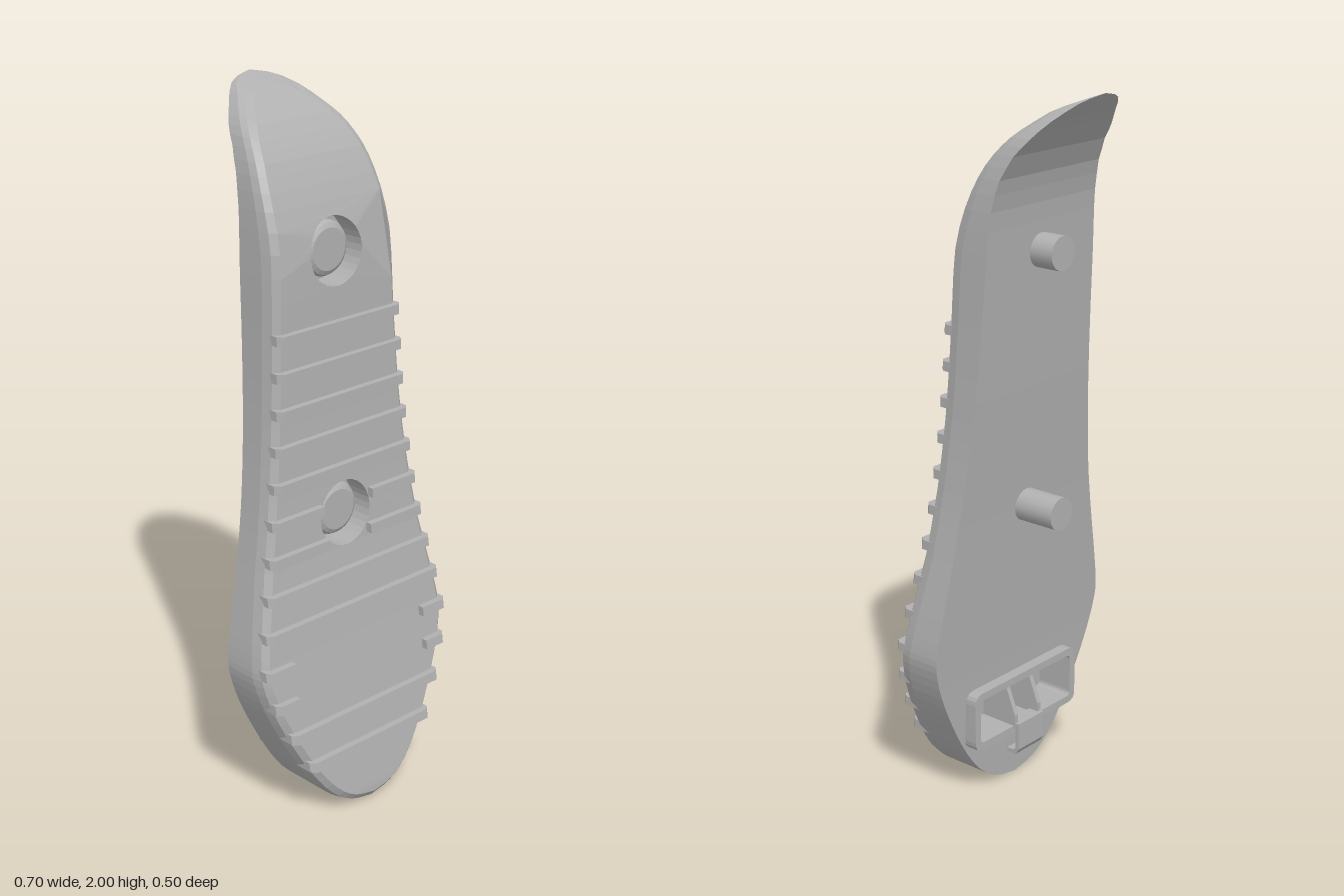
import * as THREE from 'three';
import { mergeGeometries } from 'three/addons/utils/BufferGeometryUtils.js';

const V2 = (x, y) => new THREE.Vector2(x, y);

// piecewise interpolation through [y, value] pairs
const curve = (pairs) => (y) => {
  let i = 1;
  while (i < pairs.length - 1 && pairs[i][0] < y) i++;
  const [y0, a] = pairs[i - 1], [y1, b] = pairs[i];
  return a + (b - a) * THREE.MathUtils.clamp((y - y0) / (y1 - y0), 0, 1);
};

// side profile: front and back surfaces of the pad
const frontZ = curve([[0, 0.252], [0.05, 0.248], [0.2, 0.222], [0.5, 0.171], [0.76, 0.13], [0.95, 0.113], [1.13, 0.102],
  [1.4, 0.09], [1.5, 0.087], [1.58, 0.083], [1.63, 0.075], [1.69, 0.056], [1.75, 0.03], [1.81, 0], [1.86, -0.037],
  [1.9, -0.075], [1.96, -0.155], [2, -0.25]]);
const backZ = curve([[0, 0.05], [0.2, 0.045], [0.4, 0.035], [0.6, 0.022], [0.87, 0.005], [1.18, -0.02], [1.5, -0.042],
  [1.69, -0.053], [1.78, -0.072], [1.85, -0.108], [1.93, -0.175], [2, -0.252]]);

// half outline seen from the front, bottom to top
const outline = new THREE.SplineCurve([[0, 0.004], [0.08, 0.022], [0.15, 0.07], [0.21, 0.145], [0.27, 0.25], [0.32, 0.36],
  [0.346, 0.45], [0.346, 0.51], [0.33, 0.6], [0.297, 0.76], [0.272, 0.9], [0.253, 1.04], [0.238, 1.2], [0.227, 1.4],
  [0.219, 1.6], [0.208, 1.75], [0.185, 1.85], [0.15, 1.915], [0.08, 1.98], [0, 2]].map(([x, y]) => V2(x, y))).getPoints(57);
const LAST = outline.length - 1;
const halfWidth = curve(outline.map((p) => [p.y, p.x]));

// outline moved inwards by d
const inset = (d) => outline.map((p, i) => {
  if (i === 0 || i === LAST) return V2(0, p.y + (i ? -d : d));
  const t = outline[i + 1].clone().sub(outline[i - 1]).normalize();
  return V2(Math.max(p.x - t.y * d, 0.001), p.y + t.x * d);
});

const mirrorLoop = (half) => [...half, ...half.filter((p) => p.x > 1e-6).reverse().map((p) => V2(-p.x, p.y))];

function flat(geometry) {
  const g = geometry.index ? geometry.toNonIndexed() : geometry;
  g.deleteAttribute('uv');
  g.computeVertexNormals();
  return g;
}

function bend(geometry, rule) {
  const p = geometry.attributes.position;
  for (let i = 0; i < p.count; i++) p.setZ(i, rule(p.getX(i), p.getY(i), p.getZ(i)));
  return geometry;
}

// surface of bands across the outline; a band around each hole is cut out
function cap(half, zAt, holes, flip) {
  const parts = [];
  for (let i = 0; i < LAST;) {
    let j = i + 1;
    const hole = holes.find((h) => half[i].y < h.min && half[j].y >= h.min);
    if (hole) while (half[j].y <= hole.max) j++;
    const shape = new THREE.Shape(mirrorLoop(half.slice(i, j + 1)));
    if (hole) shape.holes.push(hole.path);
    const g = bend(new THREE.ShapeGeometry(shape, 16), (x, y) => zAt(y));
    if (flip) g.index.array.reverse();
    parts.push(flat(g));
    i = j;
  }
  return parts;
}

// side wall and rounded front edge, as loops joined by quads
function wall() {
  const loop = (d, zAt) => mirrorLoop(inset(d)).map((p) => [p.x, p.y, zAt(p.y)]);
  const edge = (depth) => (y) => frontZ(y) - depth * Math.min(1, (frontZ(y) - backZ(y)) / 0.12);
  const loops = [loop(0, backZ), loop(0, edge(0.045)), loop(0.007, edge(0.015)), loop(0.025, frontZ)];
  const n = loops[0].length, index = [];
  for (let k = 0; k < loops.length - 1; k++) {
    for (let i = 0; i < n; i++) {
      const a = k * n + i, b = k * n + (i + 1) % n;
      index.push(a, b, a + n, b, b + n, a + n);
    }
  }
  const g = new THREE.BufferGeometry();
  g.setAttribute('position', new THREE.Float32BufferAttribute(loops.flat(2), 3));
  g.setIndex(index);
  return flat(g);
}

const rectangle = (Type, w, y0, y1, r) => {
  const s = new Type();
  s.moveTo(-w + r, y0).lineTo(w - r, y0).quadraticCurveTo(w, y0, w, y0 + r).lineTo(w, y1 - r)
    .quadraticCurveTo(w, y1, w - r, y1).lineTo(-w + r, y1).quadraticCurveTo(-w, y1, -w, y1 - r)
    .lineTo(-w, y0 + r).quadraticCurveTo(-w, y0, -w + r, y0);
  return s;
};

export function createModel() {
  const model = new THREE.Group();
  const rubber = new THREE.MeshStandardMaterial({ color: 0xb0b0b0, side: THREE.DoubleSide });
  rubber.name = 'grey rubber';
  const add = (name, geometry, x = 0, y = 0, z = 0) => {
    const m = new THREE.Mesh(geometry, rubber);
    m.name = name;
    m.position.set(x, y, z);
    model.add(m);
    return m;
  };

  // pad body with two screw holes in front and a pocket behind
  const R = 0.092, screws = [0.85, 1.575];
  const round = screws.map((y) => ({ min: y - R, max: y + R, path: new THREE.Path().absarc(0, y, R, 0, Math.PI * 2) }));
  const pocket = { min: 0.18, max: 0.325, path: rectangle(THREE.Path, 0.2, 0.18, 0.325, 0.02) };
  add('padBody', mergeGeometries([wall(), ...cap(inset(0.025), frontZ, round, false), ...cap(outline, backZ, [pocket], true)]));

  // screw recesses, heads and rear pins
  for (const y of screws) {
    const floor = frontZ(y) - 0.075;
    const recess = new THREE.LatheGeometry([V2(R, 1), V2(R, 0), V2(0, 0)], 32).rotateX(Math.PI / 2);
    bend(recess, (px, py, pz) => (pz > 0.5 ? frontZ(y + py) : floor));
    add('screwRecess', flat(recess), 0, y);
    const head = new THREE.LatheGeometry([V2(0.076, 0), V2(0.076, 0.03), V2(0.07, 0.04), V2(0.058, 0.047), V2(0, 0.047)], 24);
    add('screwHead', flat(head.rotateX(Math.PI / 2)), 0, y, floor);
    const length = floor + 0.12;
    add('rearPin', new THREE.CylinderGeometry(0.047, 0.047, length, 20).rotateX(Math.PI / 2), 0, y, floor - length / 2);
  }

  // grip ribs with bevelled outer ends
  const H = 0.027, out = 0.019;
  const rib = (y, x0, x1, left, right) => {
    const c = 0.014, s = new THREE.Shape();
    s.moveTo(x0, -0.05).lineTo(x1, -0.05);
    if (right) s.lineTo(x1, out - c).lineTo(x1 - c, out); else s.lineTo(x1, out);
    if (left) s.lineTo(x0 + c, out).lineTo(x0, out - c); else s.lineTo(x0, out);
    const g = new THREE.ExtrudeGeometry(s, { depth: H, bevelEnabled: false });
    g.rotateX(Math.PI / 2).translate(0, y + H / 2, 0);
    bend(g, (px, py, pz) => pz + frontZ(py));
    add('gripRib', flat(g));
  };
  for (let i = 0; i < 13; i++) {
    const y = 0.19 + i * 0.0992, w = halfWidth(y) - 0.006;
    const near = Math.min(...screws.map((s) => Math.max(0, Math.abs(y - s) - H / 2)));
    const gap = i === 2 || i === 3 ? 0.245 : near < R ? Math.sqrt(R * R - near * near) : 0;
    if (gap) {
      rib(y, -w, -gap, true, false);
      rib(y, gap, w, false, true);
    } else rib(y, -w, w, true, true);
  }

  // rear latch frame, pocket floor and dividers
  const frame = rectangle(THREE.Shape, 0.22, 0.165, 0.34, 0.03);
  frame.holes.push(rectangle(THREE.Path, 0.198, 0.187, 0.318, 0.015));
  add('latchFrame', new THREE.ExtrudeGeometry(frame, { depth: 0.125, bevelEnabled: false, curveSegments: 4 }), 0, 0, 0.005);
  add('pocketFloor', new THREE.BoxGeometry(0.41, 0.15, 0.01), 0, 0.2525, 0.125);
  for (const side of [-1, 1]) {
    const s = new THREE.Shape([V2(0.12, 0.18), V2(0.0, 0.18), V2(0.0, 0.22), V2(0.04, 0.32), V2(0.12, 0.32)]);
    const g = new THREE.ExtrudeGeometry(s, { depth: 0.014, bevelEnabled: false });
    g.rotateY(-Math.PI / 2).translate(side * 0.05 + 0.007, 0, 0);
    add('pocketDivider', g);
  }

  // hook below the frame, drawn in side profile
  const hook = new THREE.Shape([V2(0.03, 0.195), V2(-0.012, 0.195), V2(-0.012, 0.115), V2(0.0, 0.097), V2(0.032, 0.097),
    V2(0.032, 0.108), V2(0.006, 0.11), V2(0, 0.12), V2(0, 0.178), V2(0.03, 0.178)]);
  const hookGeometry = new THREE.ExtrudeGeometry(hook, { depth: 0.11, bevelEnabled: false });
  add('latchHook', hookGeometry.rotateY(-Math.PI / 2).translate(0.055, 0, 0));

  return model;
}
